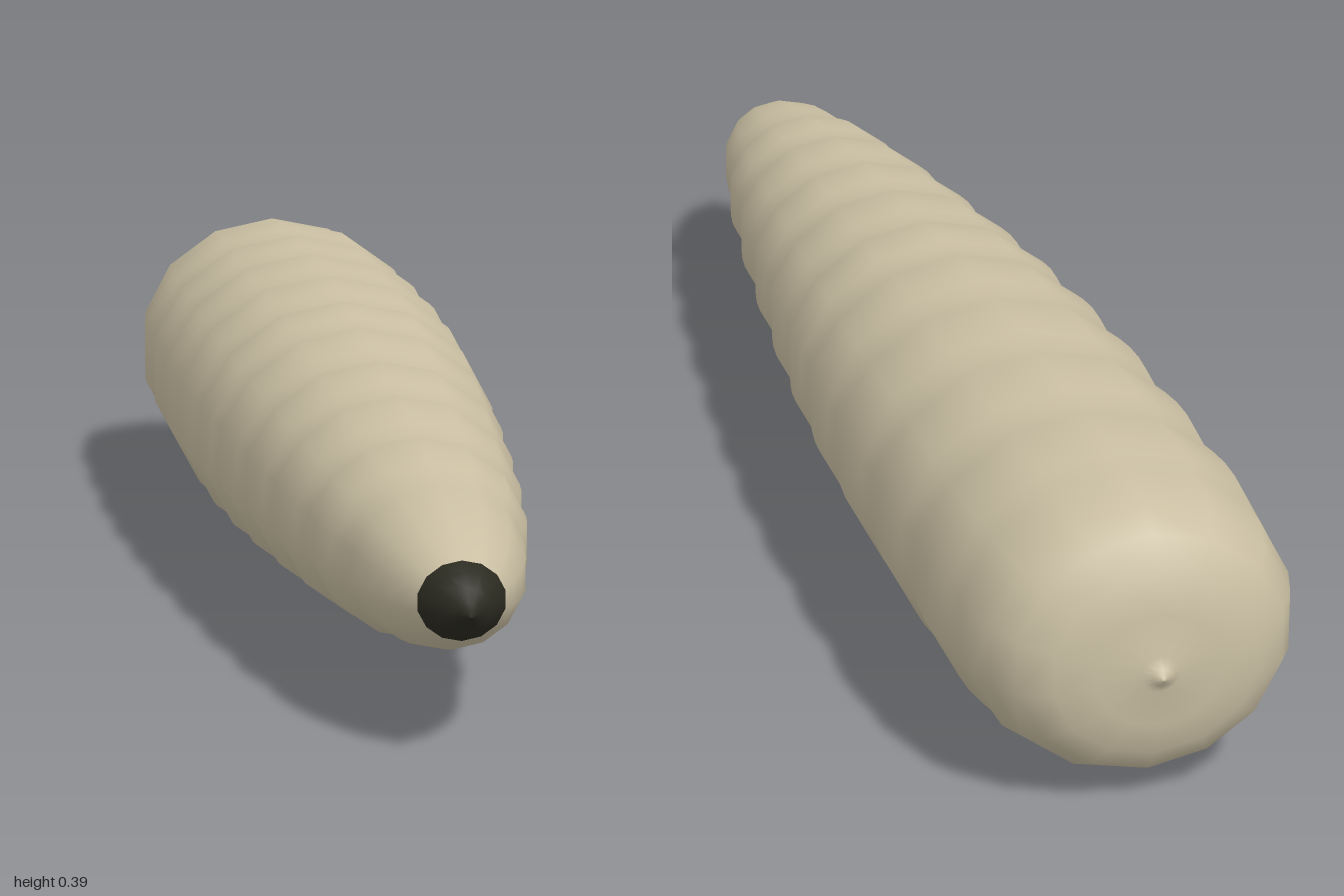
import * as THREE from 'three';

const SIDES = 14;

// Turn a [radius, z] profile around the long axis, flatten it slightly and
// let the thin ends sag a little below the centre line.
function turned(profile) {
  const points = profile.map(([r, z]) => new THREE.Vector2(r, z));
  const geo = new THREE.LatheGeometry(points, SIDES);
  geo.rotateX(Math.PI / 2);
  geo.scale(1, 0.904, 1);
  const pos = geo.attributes.position;
  for (let i = 0; i < pos.count; i++) {
    const r = Math.hypot(pos.getX(i), pos.getY(i) / 0.904);
    pos.setY(i, pos.getY(i) + 0.185 + 0.07 * r);
  }
  return geo;
}

export function createModel() {
  const skin = new THREE.MeshStandardMaterial({ color: 0xcabfa3 });
  skin.name = 'pale skin';
  const dark = new THREE.MeshStandardMaterial({ color: 0x2b2a20 });
  dark.name = 'dark mouth';

  // Grooves between the body segments: [radius, z]
  const grooves = [
    [0.204, -0.83], [0.209, -0.645], [0.210, -0.455], [0.208, -0.265],
    [0.199, -0.09], [0.189, 0.06], [0.172, 0.23], [0.156, 0.39],
    [0.135, 0.56], [0.111, 0.72],
  ];

  // Rounded rear end with a small nipple
  const profile = [
    [0, -1], [0.012, -0.993], [0.025, -0.985], [0.08, -0.982],
    [0.13, -0.972], [0.168, -0.948], [0.19, -0.912], [0.203, -0.87],
  ];

  // Bulging segments
  const steps = 5;
  for (let i = 0; i < grooves.length - 1; i++) {
    const [r0, z0] = grooves[i];
    const [r1, z1] = grooves[i + 1];
    for (let s = 0; s < steps; s++) {
      const t = s / steps;
      const bulge = 0.009 * Math.sin(Math.PI * t);
      profile.push([THREE.MathUtils.lerp(r0, r1, t) + bulge, THREE.MathUtils.lerp(z0, z1, t)]);
    }
  }

  // Tapering head
  profile.push([0.111, 0.72], [0.108, 0.76], [0.099, 0.81], [0.085, 0.86], [0.068, 0.902], [0.053, 0.928]);

  const body = new THREE.Mesh(turned(profile), skin);
  body.name = 'segmentedBody';

  // Pointed mouth tip
  const mouth = new THREE.Mesh(
    turned([[0.053, 0.928], [0.043, 0.948], [0.028, 0.965], [0.013, 0.978], [0.006, 0.99], [0, 1]]),
    dark,
  );
  mouth.name = 'mouthTip';

  const model = new THREE.Group();
  model.name = 'larva';
  model.add(body, mouth);
  return model;
}
